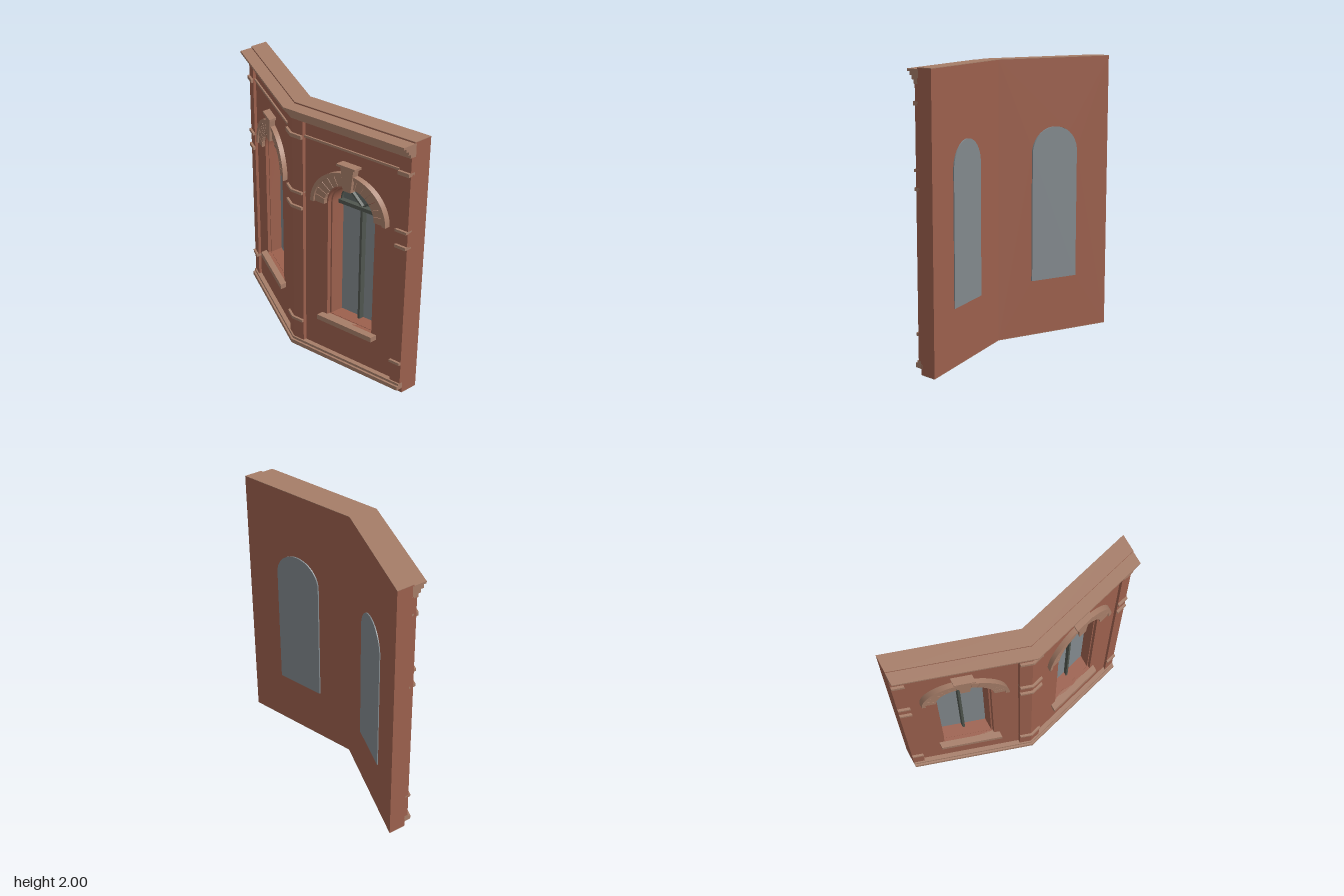
import * as THREE from 'three';
import { toCreasedNormals } from 'three/addons/utils/BufferGeometryUtils.js';

const HALF = 0.868, SLOPE = 0.305, COS = 0.957; // half width, fold of the wall in plan
const BACK = 0.0225, WALL = 0.1265;             // back of wall at the fold, wall thickness
const WIN_X = 0.435, SILL_Y = 0.404, SPRING = 1.328, R = 0.186;

export function createModel() {
  const model = new THREE.Group();
  model.name = 'foldedFacade';
  const mat = (name, color) => {
    const m = new THREE.MeshStandardMaterial({ color });
    m.name = name;
    return m;
  };
  const brick = mat('brick', 0x9c604d);
  const stone = mat('stone', 0xa67d68);
  const glass = mat('glass', 0x82898d);
  const fanGlass = mat('fanGlass', 0x616966);
  const frame = mat('frame', 0x50564f);

  // Fold a flat piece about x = 0 and add it
  function add(parent, name, geo, material) {
    const p = geo.attributes.position;
    for (let i = 0; i < p.count; i++) p.setZ(i, p.getZ(i) + BACK - SLOPE * Math.abs(p.getX(i)));
    const mesh = new THREE.Mesh(toCreasedNormals(geo, 0.5), material);
    mesh.name = name;
    parent.add(mesh);
  }

  // Box from ranges; two segments in x so that it can fold
  function box(x0, x1, y0, y1, z0, z1) {
    return new THREE.BoxGeometry(x1 - x0, y1 - y0, z1 - z0, 2, 1, 1)
      .translate((x0 + x1) / 2, (y0 + y1) / 2, (z0 + z1) / 2);
  }
  const extrude = (shape, z0, z1) =>
    new THREE.ExtrudeGeometry(shape, { depth: z1 - z0, bevelEnabled: false, curveSegments: 24 }).translate(0, 0, z0);

  // Round-headed outline centred on cx
  function archPath(path, cx, r, bottom) {
    path.moveTo(cx - r * COS, bottom);
    path.lineTo(cx + r * COS, bottom);
    path.lineTo(cx + r * COS, SPRING);
    path.absellipse(cx, SPRING, r * COS, r, 0, Math.PI, false, 0);
    path.closePath();
    return path;
  }

  // Part of a ring around the spring point
  function ringShape(cx, r0, r1, a0, a1) {
    const s = new THREE.Shape();
    s.absellipse(cx, SPRING, r1 * COS, r1, a0, a1, false, 0);
    s.absellipse(cx, SPRING, r0 * COS, r0, a1, a0, true, 0);
    s.closePath();
    return s;
  }

  // Horizontal mouldings: y0, y1, front
  const plates = [[0, 0.004], [1.996, 2]];
  for (const [y0, y1] of plates) add(model, 'wallCap', box(-HALF, HALF, y0, y1, 0, WALL), stone);
  const cornice = [[1.896, 1.923, 0.16], [1.923, 1.948, 0.178], [1.948, 1.973, 0.198], [1.973, 1.989, 0.218]];
  for (const [y0, y1, z] of cornice) add(model, 'cornice', box(-HALF, HALF, y0, y1, WALL - 0.01, z), stone);
  const base = [[0.042, 0.074, 0.176], [0.074, 0.093, 0.161]];
  for (const [y0, y1, z] of base) add(model, 'baseMoulding', box(-HALF, HALF, y0, y1, WALL - 0.01, z), stone);
  add(model, 'stringCourse', box(-HALF, HALF, 1.772, 1.788, WALL - 0.01, 0.138), stone);

  // Pilasters with stone bands
  const bands = [[0.26, 0.281], [1.217, 1.24], [1.339, 1.358], [1.761, 1.788]];
  for (const [x0, x1] of [[-HALF, -0.788], [-0.082, 0.082], [0.788, HALF]]) {
    add(model, 'pilaster', box(x0, x1, 0.09, 1.9, WALL - 0.01, 0.15), brick);
    for (const [y0, y1] of bands) add(model, 'pilasterBand', box(x0, x1, y0, y1, WALL - 0.01, 0.167), stone);
  }

  for (const side of [-1, 1]) {
    const cx = side * WIN_X;

    // Half of the wall with its window opening
    const xa = Math.min(0, side * HALF), xb = Math.max(0, side * HALF);
    const wall = new THREE.Shape();
    wall.moveTo(xa, 0.004);
    wall.lineTo(xb, 0.004);
    wall.lineTo(xb, 1.996);
    wall.lineTo(xa, 1.996);
    wall.closePath();
    wall.holes.push(archPath(new THREE.Path(), cx, R, SILL_Y));
    add(model, 'wall', extrude(wall, 0, WALL), brick);

    const win = new THREE.Group();
    win.name = side > 0 ? 'leftWindow' : 'rightWindow';
    model.add(win);

    // Stepped lining inside the opening
    const r = R - 0.01;
    const lining = archPath(new THREE.Shape(), cx, R, SILL_Y);
    lining.holes.push(archPath(new THREE.Path(), cx, r, SILL_Y + 0.003));
    add(win, 'lining', extrude(lining, 0.004, 0.1), brick);

    // Glass, fanlight and bars
    add(win, 'glass', extrude(archPath(new THREE.Shape(), cx, R - 0.002, SILL_Y), -0.007, 0.005), glass);
    const fan = new THREE.Shape();
    fan.absellipse(cx, SPRING, r * COS, r, 0, Math.PI, false, 0);
    fan.closePath();
    add(win, 'fanlight', extrude(fan, 0.006, 0.014), fanGlass);
    add(win, 'fanRim', extrude(ringShape(cx, r - 0.008, r, 0, Math.PI), 0.005, 0.03), frame);
    add(win, 'transom', box(cx - r * COS, cx + r * COS, 1.31, 1.338, 0.004, 0.05), frame);
    add(win, 'mullion', box(cx - 0.008, cx + 0.008, SILL_Y, 1.32, 0.004, 0.04), frame);
    for (const a of [Math.PI / 4, -Math.PI / 4]) {
      const bar = box(-0.006, 0.006, 0, r - 0.002, 0.005, 0.035).rotateZ(a).scale(COS, 1, 1).translate(cx, SPRING, 0);
      add(win, 'fanBar', bar, frame);
    }

    // Sill
    add(win, 'sill', box(cx - 0.216, cx + 0.216, 0.364, SILL_Y, WALL - 0.02, 0.175), stone);

    // Arch of wedge stones under a raised hood
    const n = 14, step = Math.PI / n;
    for (let i = 0; i < n; i++) {
      add(win, 'archStone', extrude(ringShape(cx, 0.196, 0.272, i * step + 0.008, (i + 1) * step - 0.008), WALL - 0.005, 0.152), stone);
    }
    add(win, 'archHood', extrude(ringShape(cx, 0.27, 0.296, 0, Math.PI), WALL - 0.005, 0.164), stone);

    // Keystone with cap
    const key = new THREE.Shape();
    key.moveTo(cx - 0.029, 1.5);
    key.lineTo(cx + 0.029, 1.5);
    key.lineTo(cx + 0.048, 1.678);
    key.lineTo(cx - 0.048, 1.678);
    key.closePath();
    add(win, 'keystone', extrude(key, WALL - 0.01, 0.172), stone);
    add(win, 'keystoneCap', box(cx - 0.068, cx + 0.068, 1.676, 1.693, WALL - 0.01, 0.184), stone);
  }
  return model;
}
